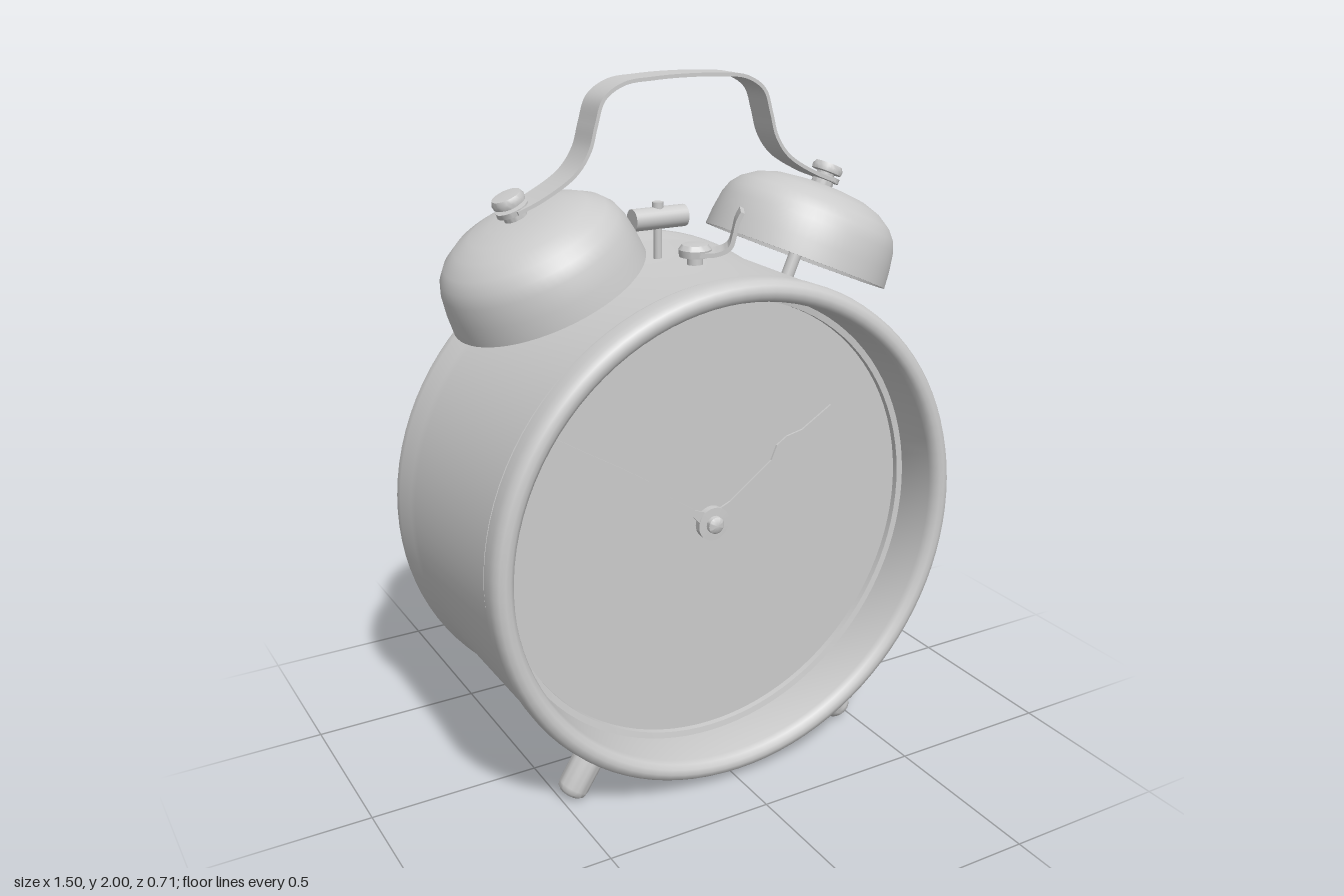
import * as THREE from 'three';
import { toCreasedNormals } from 'three/addons/utils/BufferGeometryUtils.js';

const CY = 0.757; // height of the clock's axis
const mat = new THREE.MeshStandardMaterial({ color: 0xcccccc, side: THREE.DoubleSide });

function add(parent, name, geo, x = 0, y = 0, z = 0) {
  const mesh = new THREE.Mesh(geo, mat);
  mesh.name = name;
  mesh.position.set(x, y, z);
  parent.add(mesh);
  return mesh;
}

// Turned part from [radius, height] pairs, about y
function turned(pairs, segments = 48) {
  const pts = pairs.map(([r, h]) => new THREE.Vector2(r, h));
  return toCreasedNormals(new THREE.LatheGeometry(pts, segments), 0.7);
}
// Turned part about z
const turnedZ = (pairs, segments) => turned(pairs, segments).rotateX(Math.PI / 2);

function rect(path, x0, y0, x1, y1) {
  path.moveTo(x0, y0);
  path.lineTo(x1, y0);
  path.lineTo(x1, y1);
  path.lineTo(x0, y1);
  path.closePath();
  return path;
}

const extrude = (shape, depth) =>
  new THREE.ExtrudeGeometry(shape, { depth, bevelEnabled: false, curveSegments: 48 });

// Bent strip: a curve in the xy plane thickened by t and widened by w along z
function strip(points, t, w, steps) {
  const curve = new THREE.CatmullRomCurve3(points.map(([x, y]) => new THREE.Vector3(x, y, 0)));
  const a = [], b = [];
  for (let i = 0; i <= steps; i++) {
    const p = curve.getPoint(i / steps), d = curve.getTangent(i / steps);
    a.push(new THREE.Vector2(p.x - d.y * t / 2, p.y + d.x * t / 2));
    b.unshift(new THREE.Vector2(p.x + d.y * t / 2, p.y - d.x * t / 2));
  }
  return toCreasedNormals(extrude(new THREE.Shape([...a, ...b]), w).translate(0, 0, -w / 2), 0.7);
}

// Clock hand along +x from [distance, half width] pairs
function hand(profile) {
  const top = profile.map(([d, w]) => new THREE.Vector2(d, w));
  const low = profile.map(([d, w]) => new THREE.Vector2(d, -w)).reverse();
  return extrude(new THREE.Shape([...low, ...top]), 0.006);
}

function addBack(clock) {
  // Domed edge of the back cover
  add(clock, 'backCoverEdge', turnedZ([[0.595, -0.32], [0.62, -0.317], [0.643, -0.305],
    [0.657, -0.285], [0.66, -0.265], [0.66, -0.215]], 96));

  // Cover face with the battery door opening
  const face = new THREE.Shape();
  face.absarc(0, 0, 0.596, 0, Math.PI * 2);
  face.holes.push(rect(new THREE.Path(), -0.31, -0.43, 0.31, -0.07));
  add(clock, 'backCover', extrude(face, 0.02), 0, 0, -0.32);

  // Door with a sunken window
  const door = rect(new THREE.Shape(), -0.302, -0.385, 0.302, -0.078);
  door.holes.push(rect(new THREE.Path(), -0.205, -0.31, 0.205, -0.14));
  add(clock, 'batteryDoor', extrude(door, 0.015), 0, 0, -0.314);
  add(clock, 'doorWindow', new THREE.BoxGeometry(0.42, 0.18, 0.01), 0, -0.225, -0.292);
  add(clock, 'doorRecess', new THREE.BoxGeometry(0.63, 0.37, 0.01), 0, -0.25, -0.295);
  add(clock, 'doorStrip', new THREE.BoxGeometry(0.604, 0.034, 0.012), 0, -0.41, -0.31);
  add(clock, 'doorLatch', new THREE.BoxGeometry(0.19, 0.05, 0.02), 0, -0.44, -0.32);
  add(clock, 'latchGrip', new THREE.BoxGeometry(0.15, 0.016, 0.012), 0, -0.44, -0.332);

  // Setting knobs, reset button, screws
  const knob = turnedZ([[0, -0.037], [0.035, -0.036], [0.046, -0.03], [0.051, -0.02], [0.051, 0.01]], 32);
  for (const s of [-1, 1]) add(clock, 'settingKnob', knob, s * 0.245, 0.225, -0.318);
  add(clock, 'resetButton', new THREE.SphereGeometry(0.013, 16, 10), 0, 0, -0.32);
  for (const deg of [30, 150, 270]) {
    const a = THREE.MathUtils.degToRad(deg);
    add(clock, 'backScrew', new THREE.SphereGeometry(0.022, 20, 12),
      0.69 * Math.cos(a), 0.69 * Math.sin(a), -0.225);
  }
}

function addFront(clock) {
  add(clock, 'bezel', turnedZ([[0.70, 0.272], [0.73, 0.272], [0.739, 0.28], [0.74, 0.315], [0.736, 0.335],
    [0.726, 0.349], [0.71, 0.355], [0.695, 0.353], [0.683, 0.343], [0.677, 0.325],
    [0.674, 0.2], [0.656, 0.197], [0.655, 0.175]], 96));
  add(clock, 'dial', new THREE.CircleGeometry(0.66, 96), 0, 0, 0.18);

  const minute = add(clock, 'minuteHand', hand([[0.03, 0.022], [0.08, 0.009], [0.18, 0.008],
    [0.27, 0.02], [0.38, 0.016], [0.5, 0.008], [0.61, 0.003]]), 0, 0, 0.192);
  minute.rotation.z = Math.atan2(0.352, -0.5);
  const hour = add(clock, 'hourHand', hand([[0.03, 0.022], [0.08, 0.011], [0.25, 0.012],
    [0.29, 0.036], [0.33, 0.034], [0.38, 0.012], [0.495, 0.003]]), 0, 0, 0.186);
  hour.rotation.z = Math.atan2(0.29, 0.405);
  add(clock, 'handHub', turnedZ([[0.05, 0.18], [0.05, 0.2], [0.026, 0.201], [0.025, 0.213],
    [0.018, 0.219], [0, 0.22]], 32));
}

function addBell(model, s) {
  const bell = new THREE.Group();
  bell.name = s > 0 ? 'leftBell' : 'rightBell';
  bell.position.set(s * 0.398, 1.452, -0.012);
  bell.rotation.z = -s * THREE.MathUtils.degToRad(23.5);
  model.add(bell);
  // Thin open dome, outside then inside
  add(bell, 'bellDome', turned([[0, 0.205], [0.1, 0.2], [0.18, 0.178], [0.235, 0.14], [0.258, 0.1], [0.272, 0],
    [0.28, 0], [0.276, 0.05], [0.267, 0.105], [0.255, 0.137], [0.232, 0.165], [0.19, 0.193],
    [0.14, 0.21], [0.08, 0.218], [0, 0.22]], 64));
  add(bell, 'bellStem', new THREE.CylinderGeometry(0.019, 0.019, 0.36, 20), 0, 0.06, 0);
  add(bell, 'bellNut', turned([[0.032, 0.215], [0.032, 0.235], [0.045, 0.236], [0.045, 0.25], [0.026, 0.252],
    [0.026, 0.258], [0.044, 0.26], [0.046, 0.272], [0.04, 0.284], [0, 0.287]], 28));
}

function addHammerAndKey(model) {
  // Hammer between the bells
  const head = new THREE.CylinderGeometry(0.031, 0.031, 0.165, 28).rotateZ(Math.PI / 2);
  add(model, 'hammerHead', head, -0.048, 1.605, -0.035);
  add(model, 'hammerRod', new THREE.CylinderGeometry(0.012, 0.012, 0.18, 16), -0.05, 1.55, -0.035);
  add(model, 'hammerCap', new THREE.CylinderGeometry(0.016, 0.016, 0.02, 16), -0.05, 1.64, -0.035);

  // Alarm switch: disc with a blade curling upward
  const key = new THREE.Group();
  key.name = 'alarmSwitch';
  key.position.set(0, 0, 0.085);
  key.rotation.y = -Math.PI / 6;
  model.add(key);
  add(key, 'switchPost', new THREE.CylinderGeometry(0.022, 0.022, 0.08, 20), 0, 1.49, 0);
  add(key, 'switchDisc', turned([[0, 1.515], [0.044, 1.515], [0.046, 1.535], [0.036, 1.548], [0, 1.551]], 32));
  add(key, 'switchBlade', strip([[0, 1.525], [0.06, 1.527], [0.095, 1.545], [0.107, 1.58], [0.115, 1.615],
    [0.128, 1.642]], 0.012, 0.085, 24));
}

export function createModel() {
  const model = new THREE.Group();
  model.name = 'alarmClock';

  const clock = new THREE.Group();
  clock.name = 'clockBody';
  clock.position.y = CY;
  model.add(clock);

  // Drum case, flared at the open back
  add(clock, 'case', turnedZ([[0.6, -0.22], [0.726, -0.22], [0.732, -0.26], [0.741, -0.35], [0.749, -0.352],
    [0.752, -0.345], [0.75, -0.325], [0.741, -0.26], [0.737, -0.235], [0.735, 0.268], [0.7, 0.272]], 96));
  addFront(clock);
  addBack(clock);

  // Two round-ended feet, pointing away from the axis
  const foot = turned([[0, -0.885], [0.03, -0.882], [0.041, -0.873], [0.045, -0.858], [0.045, -0.71]], 28);
  for (const s of [-1, 1]) {
    add(clock, 'foot', foot, 0, 0, 0.19).rotation.z = s * THREE.MathUtils.degToRad(32.5);
    addBell(model, s);
  }
  addHammerAndKey(model);

  // Carrying handle, bent from one strip
  const half = [[0.5, 1.672], [0.43, 1.7], [0.335, 1.757], [0.292, 1.815], [0.272, 1.88], [0.248, 1.945],
    [0.19, 1.982], [0.1, 1.992]];
  const path = [...half.map(([x, y]) => [-x, y]), [0, 1.995], ...half.slice().reverse()];
  add(model, 'handle', strip(path, 0.01, 0.1, 96), 0, 0, -0.01);

  return model;
}
